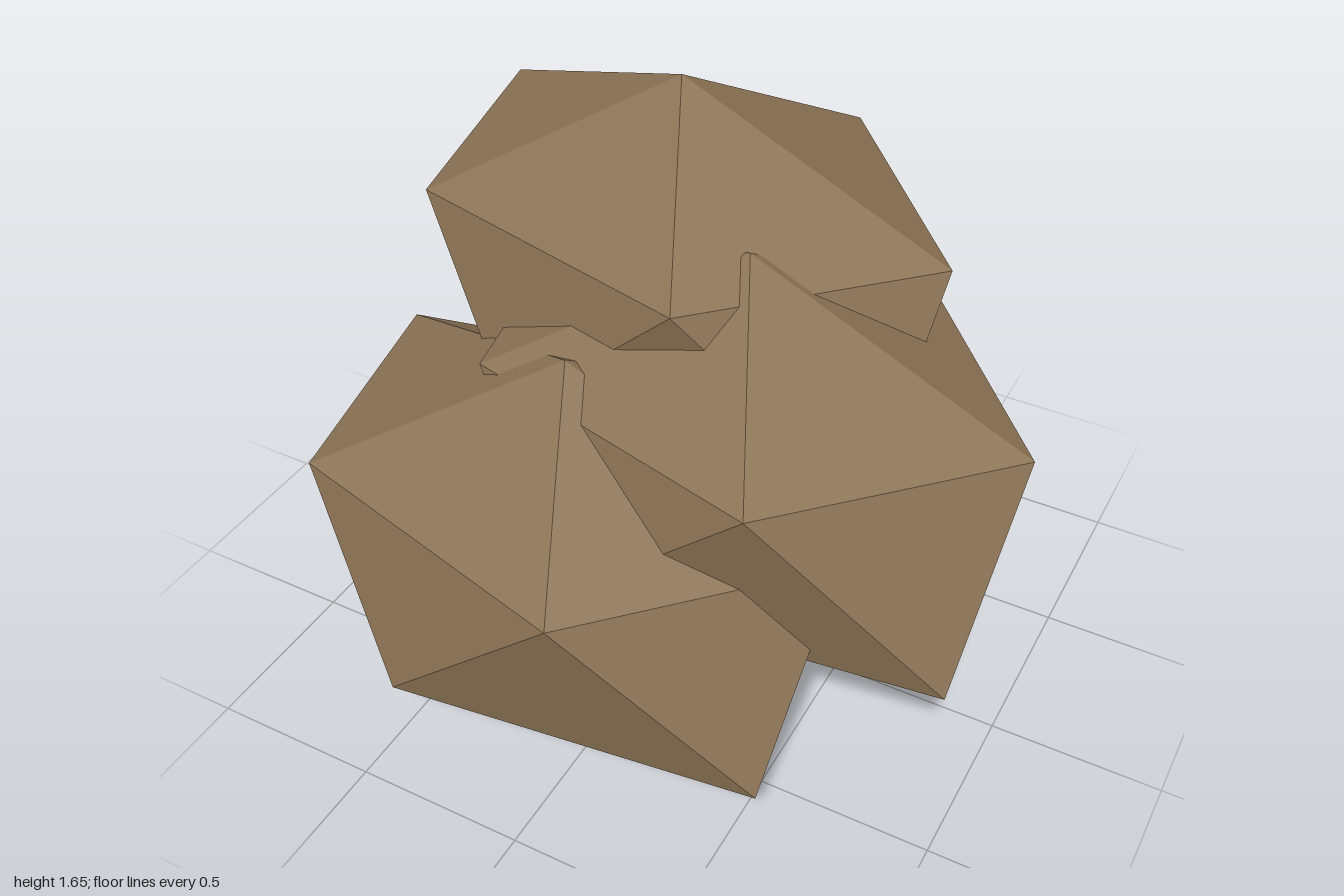
import * as THREE from 'three';
import { ConvexGeometry } from 'three/addons/geometries/ConvexGeometry.js';

// Corners of one boulder around its centre: an uneven, flattened icosahedron
const corners = [
  [0, 0.6, 0], // peak
  [-0.78, 0.26, -0.37], [-0.66, 0.22, 0.32], [0.29, 0.26, 0.6], [0.82, 0.22, 0], [0.29, 0.26, -0.59], // upper ring
  [-0.8, -0.25, 0], [-0.27, -0.27, 0.55], [0.78, -0.31, 0.39], [0.62, -0.25, -0.3], [-0.27, -0.27, -0.55], // lower ring
  [0, -0.51, 0], // foot
];

// Three copies of the boulder, grown into one another
const boulders = [
  ['frontBoulder', -0.2, 0.51, 0.32],
  ['sideBoulder', 0.18, 0.78, 0],
  ['backBoulder', -0.2, 1.05, -0.33],
];

export function createModel() {
  const group = new THREE.Group();
  group.name = 'rockCluster';
  const stone = new THREE.MeshStandardMaterial({ color: 0x8b7355 });
  stone.name = 'brown stone';

  const geometry = new ConvexGeometry(corners.map((c) => new THREE.Vector3(...c)));
  for (const [name, x, y, z] of boulders) {
    const mesh = new THREE.Mesh(geometry, stone);
    mesh.name = name;
    mesh.position.set(x, y, z);
    group.add(mesh);
  }
  return group;
}
